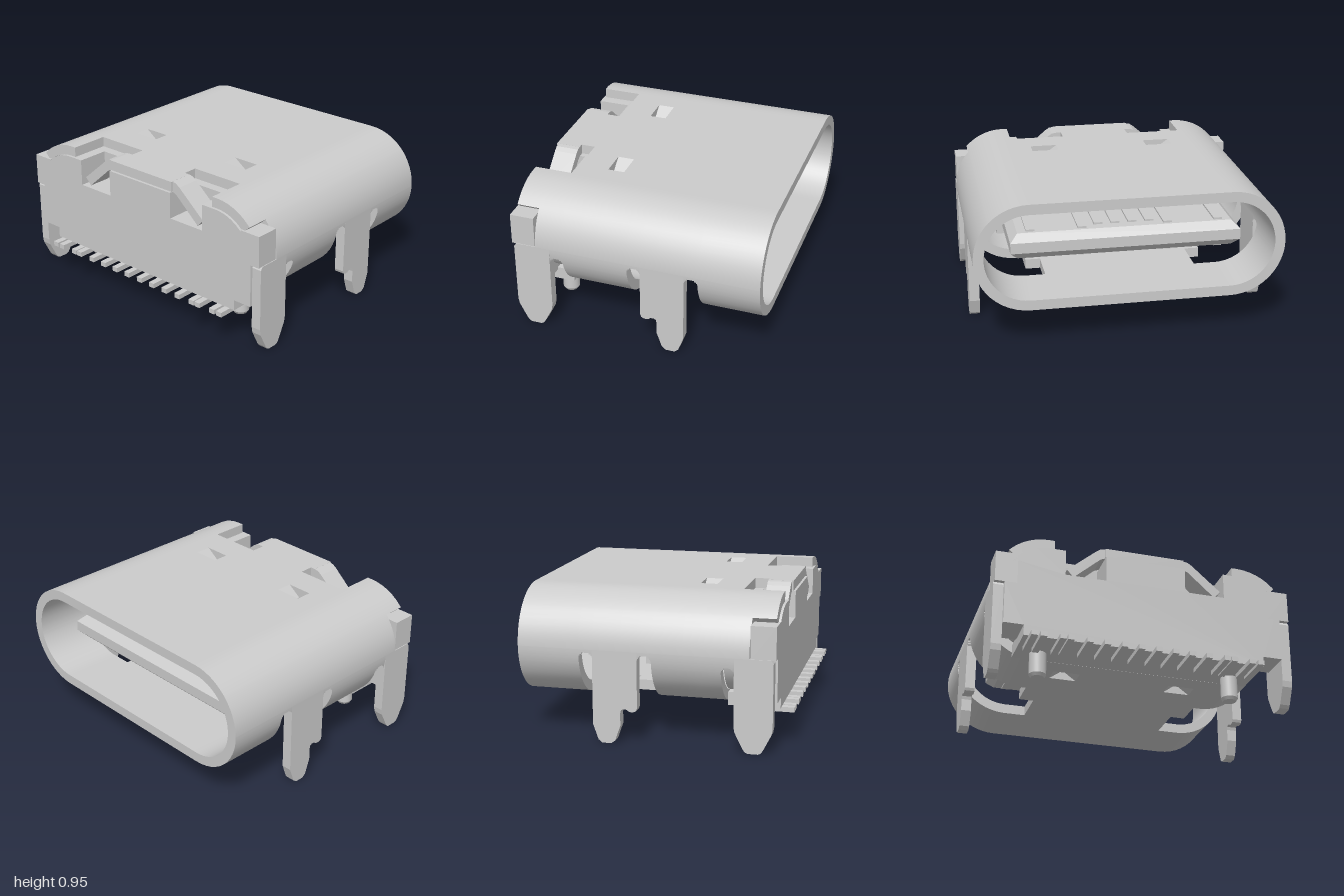
import * as THREE from 'three';
import { toCreasedNormals } from 'three/addons/utils/BufferGeometryUtils.js';

const F = 0.647, R = 0.353, CY = 0.602, WALL = 0.067; // stadium section of the shell
const T = 2 * F + Math.PI * R;                        // half perimeter, from top centre to bottom centre
const Z0 = -0.87, Z1 = 0.77;

export function createModel() {
  const root = new THREE.Group();
  const mat = new THREE.MeshStandardMaterial({ color: 0xcccccc });
  const add = (name, geo, x = 0, y = 0, z = 0) => {
    const m = new THREE.Mesh(geo, mat);
    m.name = name;
    m.position.set(x, y, z);
    root.add(m);
    return m;
  };
  const box = (name, x0, x1, y0, y1, z0, z1) =>
    add(name, new THREE.BoxGeometry(x1 - x0, y1 - y0, z1 - z0), (x0 + x1) / 2, (y0 + y1) / 2, (z0 + z1) / 2);
  const prism = (pts, depth) => new THREE.ExtrudeGeometry(
    new THREE.Shape(pts.map(p => new THREE.Vector2(...p))), { depth, bevelEnabled: false });

  add('shell', shellGeometry());

  for (const s of [1, -1]) {
    const side = s > 0 ? 'left' : 'right';
    const flip = pts => pts.map(([x, y]) => [s * x, y]);

    // flat mounting legs, drawn in (z, y)
    const leg = (name, pts) => add(side + name, prism(pts, WALL).rotateY(-Math.PI / 2), s > 0 ? 1 : -1 + WALL);
    leg('FrontLeg', [[0.525, 0.602], [0.525, 0.17], [0.532, 0.13], [0.585, 0.025], [0.6, 0.006], [0.615, 0],
      [0.68, 0], [0.695, 0.006], [0.71, 0.025], [0.763, 0.13], [0.77, 0.17], [0.77, 0.58], [0.755, 0.602]]);
    leg('BackLeg', [[-0.09, 0.602], [-0.09, 0.24], [-0.097, 0.222], [-0.115, 0.214], [-0.14, 0.214], [-0.16, 0.228],
      [-0.18, 0.23], [-0.195, 0.222], [-0.2, 0.2], [-0.2, 0.12], [-0.235, 0.02], [-0.26, 0], [-0.32, 0],
      [-0.345, 0.02], [-0.38, 0.12], [-0.38, 0.602]]);

    // bent hooks that grip the housing
    add(side + 'Hook', prism(flip([[0.265, 0.955], [0.3, 0.95], [0.33, 0.93], [0.525, 0.762], [0.48, 0.715],
      [0.3, 0.875], [0.265, 0.888]]), 0.155), 0, 0, 0.605);

    // V-shaped pressed dimples, top and bottom
    const dimple = [[0.31, 0.955], [0.4, 0.89], [0.49, 0.955], [0.49, 0.888], [0.4, 0.823], [0.31, 0.888]];
    add(side + 'TopDimple', prism(flip(dimple), 0.11), 0, 0, 0.2);
    add(side + 'BottomDimple', prism(flip(dimple.map(([x, y]) => [x, 2 * CY - y])), 0.11), 0, 0, 0.2);

    // housing ear and locating peg
    box(side + 'HousingEar', Math.min(s * 0.85, s * 0.995), Math.max(s * 0.85, s * 0.995), 0.6, 0.81, 0.625, 0.785);
    const peg = [[0, 0.08], [0.043, 0.08], [0.056, 0.1], [0.056, 0.26]].map(p => new THREE.Vector2(...p));
    add(side + 'Peg', toCreasedNormals(new THREE.LatheGeometry(peg, 28), 0.4), s * 0.65, 0, 0.54);
  }

  // housing front plate with hook pockets
  const half = [[0.27, 0.886], [0.27, 0.71], [0.54, 0.71], [0.54, 0.886]];
  for (let i = 0; i <= 10; i++) {
    const a = i / 10 * Math.PI / 2;
    half.push([F + 0.284 * Math.sin(a), CY + 0.284 * Math.cos(a)]);
  }
  half.push([0.931, 0.315], [0.8, 0.315], [0.8, 0.245]);
  const mirrored = half.map(([x, y]) => [-x, y]).reverse();
  add('housingFront', toCreasedNormals(prism([...half, ...mirrored], 0.22), 0.4), 0, 0, 0.565);

  // housing core closing the shell
  const core = [];
  for (let i = 0; i <= 48; i++) {
    const a = i / 48 * Math.PI * 2;
    const c = Math.sin(a);
    core.push([(i <= 24 ? F : -F) + 0.284 * c, CY + 0.284 * Math.cos(a)]);
  }
  add('housingCore', toCreasedNormals(prism(core, 0.125), 0.4), 0, 0, 0.445);
  box('housingFloor', -0.8, 0.8, 0.245, 0.33, 0.45, 0.6);

  // tongue with chamfered rim, and its thicker base
  const b = 0.05, h = 0.17;
  const tongue = new THREE.ExtrudeGeometry(
    new THREE.Shape([[-0.7, -0.46], [0.7, -0.46], [0.7, 0.65], [-0.7, 0.65]].map(p => new THREE.Vector2(...p))),
    { depth: h - 2 * b, bevelThickness: b, bevelSize: b, bevelSegments: 1 });
  add('tongue', tongue.rotateX(-Math.PI / 2), 0, CY - h / 2 + b, 0);
  box('tongueBase', -0.78, 0.78, 0.475, 0.729, -0.09, 0.46);

  // contact strips on both faces of the tongue
  for (const x of [0.056, 0.168, 0.28, 0.615]) {
    const tip = x > 0.2 ? -0.63 : -0.58;
    for (const s of [1, -1]) {
      for (const y of [CY + h / 2, CY - h / 2]) {
        box('contact', s * x - 0.028, s * x + 0.028, y - 0.012, y + 0.012, tip, -0.08);
      }
    }
  }

  // solder tails
  for (const x of [0.057, 0.168, 0.28, 0.393, 0.515, 0.565, 0.688, 0.747]) {
    for (const s of [1, -1]) box('solderTail', s * x - 0.021, s * x + 0.021, 0.215, 0.247, 0.62, 0.867);
  }
  return root;
}

// point on the shell: t runs round the section, d is the depth below the outer face
function shellPoint(t, z, d) {
  const s = Math.sign(t), a = Math.abs(t), r = R - d;
  if (a <= F) return [t, CY + r, z];
  if (a >= T - F) return [s * (T - a), CY - r, z];
  const phi = (a - F) / R;
  return [s * (F + r * Math.sin(phi)), CY + r * Math.cos(phi), z];
}

// bent sheet with cutouts, made of grid cells
function shellGeometry() {
  const cuts = [ // [t from, t to, z from, z to], both halves alike
    [0.235, 0.61, 0.51, 0.605], [0.27, 0.61, 0.605, Z1],      // hook openings
    [0.31, 0.49, 0.2, 0.31], [T - 0.49, T - 0.31, 0.2, 0.31], // dimples
    [0.94, 1.203, 0.62, Z1],                                  // ear notches
    [1.203, T, 0.525, Z1],                                    // open underside
    [1.203, 1.8, -0.38, -0.09], [1.8, 1.9, -0.47, -0.2],      // leg windows
  ];
  // slots with a rounded upper end
  const slot = (t0, t1, z0, z1) => {
    const r = 0.04, n = 4;
    for (let i = 0; i < n; i++) {
      const inset = r * (1 - Math.sqrt(1 - (1 - (i + 0.5) / n) ** 2));
      cuts.push([t0 + r * i / n, t0 + r * (i + 1) / n, z0 + inset, z1 - inset]);
    }
    cuts.push([t0 + r, t1, z0, z1]);
  };
  slot(1.223, 1.8, -0.09, 0);
  slot(1.223, 1.8, -0.47, -0.38);
  slot(1.269, T, 0.44, 0.525);

  const unique = list => [...new Set(list.map(v => Math.round(v * 1e4) / 1e4))].sort((p, q) => p - q);
  const arc = Array.from({ length: 25 }, (_, i) => F + Math.PI * R * i / 24);
  const pos = unique([0, T, ...arc, ...cuts.flatMap(c => [c[0], c[1]])]);
  const ts = unique([...pos.map(v => -v), ...pos]);
  const zs = unique([Z0, Z1, ...cuts.flatMap(c => [c[2], c[3]])]);
  const nt = ts.length - 1, nz = zs.length - 1;
  const solid = (i, j) => {
    if (j < 0 || j >= nz) return false;
    i = (i + nt) % nt;
    const t = Math.abs(ts[i] + ts[i + 1]) / 2, z = (zs[j] + zs[j + 1]) / 2;
    return !cuts.some(c => t > c[0] && t < c[1] && z > c[2] && z < c[3]);
  };
  const out = [];
  const quad = (a, b, c, d) => out.push(...a, ...b, ...c, ...a, ...c, ...d);
  for (let i = 0; i < nt; i++) {
    for (let j = 0; j < nz; j++) {
      if (!solid(i, j)) continue;
      const o = (p, q) => shellPoint(ts[i + p], zs[j + q], 0);
      const n = (p, q) => shellPoint(ts[i + p], zs[j + q], WALL);
      quad(o(0, 0), o(0, 1), o(1, 1), o(1, 0));
      quad(n(0, 0), n(1, 0), n(1, 1), n(0, 1));
      if (!solid(i, j + 1)) quad(n(0, 1), n(1, 1), o(1, 1), o(0, 1));
      if (!solid(i, j - 1)) quad(n(0, 0), o(0, 0), o(1, 0), n(1, 0));
      if (!solid(i + 1, j)) quad(n(1, 0), o(1, 0), o(1, 1), n(1, 1));
      if (!solid(i - 1, j)) quad(n(0, 0), n(0, 1), o(0, 1), o(0, 0));
    }
  }
  const geo = new THREE.BufferGeometry();
  geo.setAttribute('position', new THREE.Float32BufferAttribute(out, 3));
  return toCreasedNormals(geo, 0.5);
}
